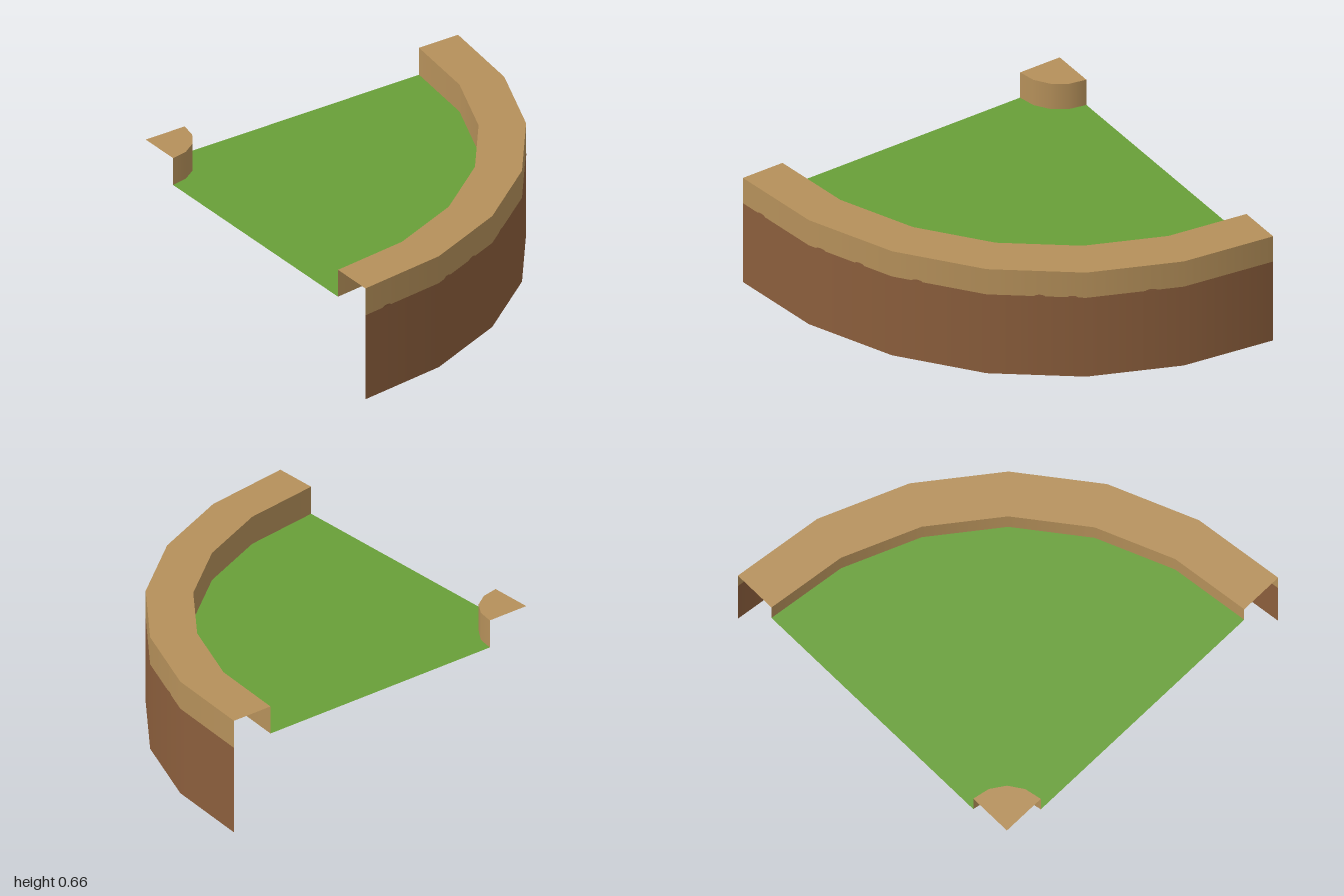
import * as THREE from 'three';

const QUARTER = Math.PI / 2;
const FLOOR_Y = 0.5, RIM_Y = 0.66;
const OUTER = 2, INNER = 1.75, POST = 0.25;
const SEGMENTS = 6, POST_SEGMENTS = 4;

const makeMaterial = (name, color) => {
  const m = new THREE.MeshStandardMaterial({ color, side: THREE.DoubleSide });
  m.name = name;
  return m;
};

export function createModel() {
  const grass = makeMaterial('grass green', 0x689f38);
  const sand = makeMaterial('sandy tan', 0xb5905a);
  const soil = makeMaterial('soil brown', 0x8b5e3c);

  const group = new THREE.Group();
  group.name = 'curvedCornerTile';

  const add = (name, geometry, material) => {
    const mesh = new THREE.Mesh(geometry, material);
    mesh.name = name;
    group.add(mesh);
    return mesh;
  };

  // Quarter-circle upright band around the tile's corner (-1, 1)
  const band = (name, radius, y0, y1, segments, material) =>
    add(name, new THREE.CylinderGeometry(radius, radius, y1 - y0, segments, 1, true, QUARTER, QUARTER), material)
      .position.set(-1, (y0 + y1) / 2, 1);

  // Horizontal face, drawn in plan around the same corner
  const flat = (name, geometry, y, material) =>
    add(name, geometry.rotateX(-QUARTER), material).position.set(-1, y, 1);

  // Point on the faceted quarter arc, in plan
  const arcPoint = (radius, segments, i) => {
    const a = (i / segments) * QUARTER;
    return new THREE.Vector2(radius * Math.cos(a), radius * Math.sin(a));
  };
  const arc = (radius, segments) =>
    Array.from({ length: segments + 1 }, (_, i) => arcPoint(radius, segments, i));

  // Grass floor between the corner post and the kerb
  const floor = new THREE.Shape([...arc(INNER, SEGMENTS), ...arc(POST, POST_SEGMENTS).reverse()]);
  flat('grassFloor', new THREE.ShapeGeometry(floor), FLOOR_Y, grass);

  // Kerb, open at both ends, above the soil wall
  flat('kerbTop', new THREE.RingGeometry(INNER, OUTER, SEGMENTS, 1, 0, QUARTER), RIM_Y, sand);
  band('kerbInnerWall', INNER, FLOOR_Y, RIM_Y, SEGMENTS, sand);
  band('kerbOuterWall', OUTER, FLOOR_Y, RIM_Y, SEGMENTS, sand);
  band('soilWall', OUTER, 0, FLOOR_Y, SEGMENTS, soil);

  // Small rounded post at the inside corner
  flat('postTop', new THREE.CircleGeometry(POST, POST_SEGMENTS, 0, QUARTER), RIM_Y, sand);
  band('postWall', POST, FLOOR_Y, RIM_Y, POST_SEGMENTS, sand);

  // Small soil bumps along the foot of the outer kerb
  const bump = new THREE.CircleGeometry(0.03, 6, 0, Math.PI).scale(1, 0.4, 1);
  for (const degrees of [4.3, 17.2, 24.2, 34, 53, 58, 70]) {
    const step = degrees / 15, i = Math.floor(step);
    const p = arcPoint(OUTER, SEGMENTS, i).lerp(arcPoint(OUTER, SEGMENTS, i + 1), step - i);
    const facing = ((i + 0.5) / SEGMENTS) * QUARTER;
    const mesh = add('soilBump', bump, soil);
    mesh.position.set(p.x - 1 + 0.003 * Math.cos(facing), FLOOR_Y, 1 - p.y - 0.003 * Math.sin(facing));
    mesh.rotation.y = QUARTER + facing;
  }

  return group;
}
